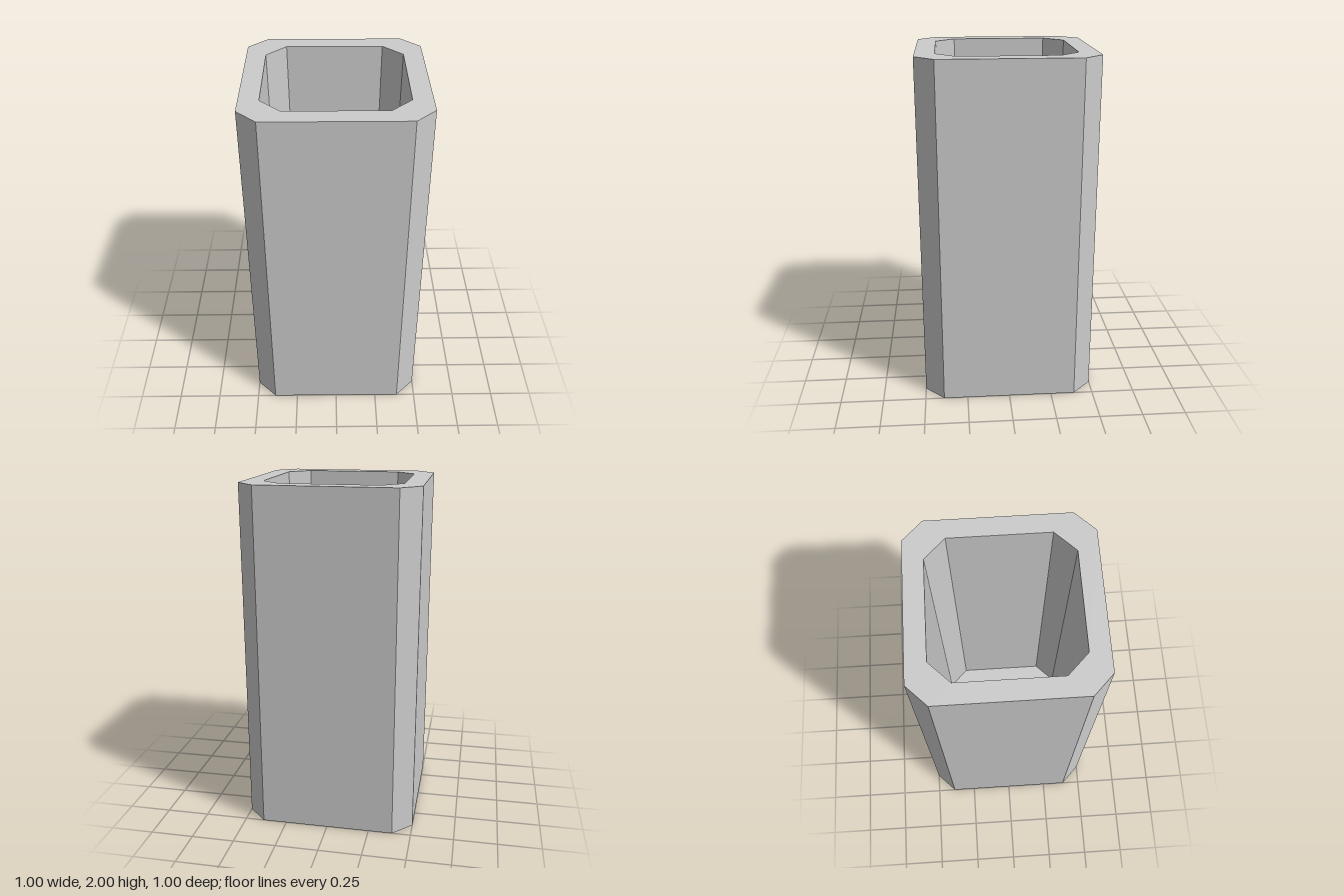
import * as THREE from 'three';

// Square ring with chamfered corners: half is the half width, flat is half the straight side
function ring(half, flat, y) {
  return [
    [half, -flat], [half, flat], [flat, half], [-flat, half],
    [-half, flat], [-half, -flat], [-flat, -half], [flat, -half],
  ].map(([x, z]) => [x, y, z]);
}

// Flat-shaded skin between two rings; a ring of zero width closes to a point
function band(lower, upper, name, material) {
  const positions = [];
  const same = (p, q) => p.every((v, k) => v === q[k]);
  const triangle = (a, b, c) => {
    if (!same(a, b) && !same(b, c) && !same(a, c)) positions.push(...a, ...b, ...c);
  };
  for (let i = 0; i < 8; i++) {
    const n = (i + 1) % 8;
    triangle(lower[i], upper[i], upper[n]);
    triangle(lower[i], upper[n], lower[n]);
  }
  const geometry = new THREE.BufferGeometry();
  geometry.setAttribute('position', new THREE.Float32BufferAttribute(positions, 3));
  geometry.computeVertexNormals();
  const mesh = new THREE.Mesh(geometry, material);
  mesh.name = name;
  return mesh;
}

export function createModel() {
  const group = new THREE.Group();
  group.name = 'chamferedContainer';
  const material = new THREE.MeshStandardMaterial({ color: 0xcccccc, flatShading: true });

  // Cross-sections from the underside, up the outside and down the tapered cavity
  const floorY = 0.11;
  const rings = [
    ring(0, 0, 0),
    ring(0.5, 0.39, 0),
    ring(0.5, 0.39, 2),
    ring(0.39, 0.277, 2),
    ring(0.372, 0.262, floorY),
    ring(0, 0, floorY),
  ];
  ['underside', 'outerWall', 'rim', 'innerWall', 'cavityFloor'].forEach((name, i) => {
    group.add(band(rings[i], rings[i + 1], name, material));
  });
  return group;
}
